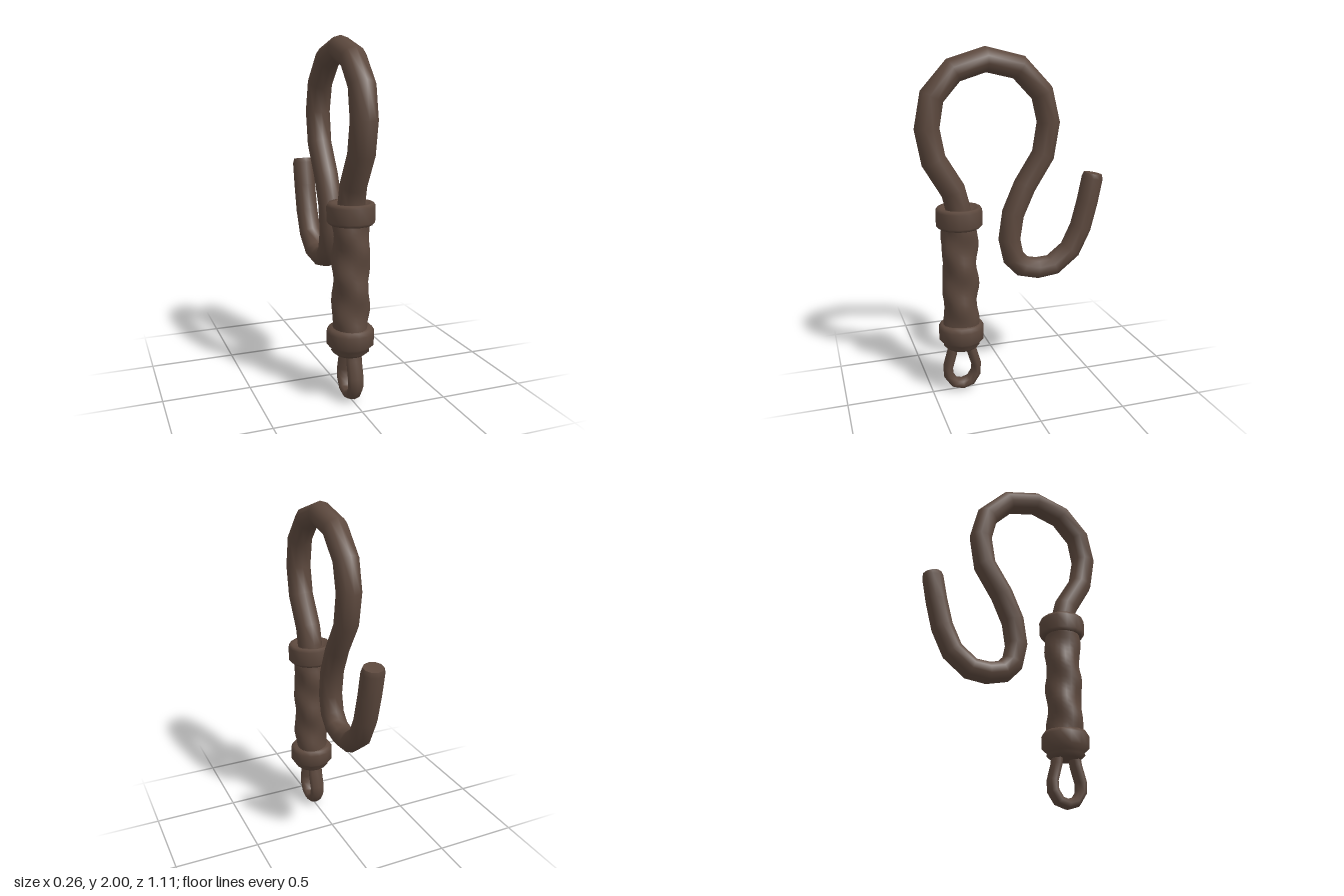
import * as THREE from 'three';

const HANDLE_Z = 0.32;

// Lofts rings around a path of [z, y] points lying in the x = 0 plane.
// radii(i, angle) returns [in-plane radius, sideways radius].
function loft(path, sides, radii, capped) {
  const pos = [], index = [];
  const last = path.length - 1;
  path.forEach(([z, y], i) => {
    const a = path[Math.max(i - 1, 0)], b = path[Math.min(i + 1, last)];
    const t = new THREE.Vector2(b[0] - a[0], b[1] - a[1]).normalize();
    for (let j = 0; j < sides; j++) {
      const ang = (j / sides) * Math.PI * 2;
      const [rn, rx] = radii(i, ang);
      pos.push(-rx * Math.sin(ang), y + t.x * rn * Math.cos(ang), z - t.y * rn * Math.cos(ang));
    }
  });
  for (let i = 0; i < last; i++) {
    for (let j = 0; j < sides; j++) {
      const a = i * sides + j, b = i * sides + ((j + 1) % sides);
      index.push(a, b, a + sides, b, b + sides, a + sides);
    }
  }
  if (capped) {
    // separate rim so the end stays flat
    const rim = last * sides, base = pos.length / 3;
    for (let j = 0; j < sides; j++) pos.push(...pos.slice((rim + j) * 3, (rim + j) * 3 + 3));
    for (let j = 1; j < sides - 1; j++) index.push(base, base + j, base + j + 1);
  }
  const g = new THREE.BufferGeometry();
  g.setAttribute('position', new THREE.Float32BufferAttribute(pos, 3));
  g.setIndex(index);
  g.computeVertexNormals();
  return g;
}

export function createModel() {
  const model = new THREE.Group();
  const leather = new THREE.MeshStandardMaterial({ color: 0x5c483d });
  leather.name = 'brownLeather';

  const add = (name, geometry, y = 0, z = 0) => {
    const mesh = new THREE.Mesh(geometry, leather);
    mesh.name = name;
    mesh.position.set(0, y, z);
    model.add(mesh);
  };

  // Curling lash, from the handle up, over and back to the hooked tip
  const lash = [
    [0.32, 1.02], [0.325, 1.12], [0.35, 1.22], [0.455, 1.395], [0.487, 1.57], [0.455, 1.74],
    [0.335, 1.875], [0.155, 1.93], [-0.035, 1.885], [-0.17, 1.745], [-0.21, 1.58],
    [-0.18, 1.395], [-0.07, 1.22], [0.0, 1.06], [0.022, 0.91], [-0.003, 0.795],
    [-0.06, 0.735], [-0.15, 0.714], [-0.25, 0.724], [-0.36, 0.81], [-0.425, 0.945],
    [-0.465, 1.1], [-0.493, 1.24], [-0.498, 1.268],
  ];
  add('lash', loft(lash, 10, (i) => {
    const k = i / (lash.length - 1);
    const r = i === lash.length - 1 ? 0.054 : 0.072 - 0.01 * k;
    return [r, r + 0.003];
  }, true));

  // Grip with a spiral wrap
  const grip = Array.from({ length: 25 }, (_, i) => [HANDLE_Z, 0.34 + (0.72 * i) / 24]);
  add('grip', loft(grip, 20, (i, a) => {
    const r = 0.101 + 0.006 * Math.sin(2 * a + i * 0.75) + 0.003 * Math.sin(3 * a - i * 0.9);
    return [r, r];
  }, false));

  // Collars at both ends of the grip
  const ring = (points) =>
    new THREE.LatheGeometry(points.map(([r, y]) => new THREE.Vector2(r, y)), 14);
  add('topCollar', ring([
    [0.09, 0.012], [0.118, 0], [0.133, 0.018], [0.134, 0.1], [0.122, 0.118], [0.1, 0.116],
    [0.075, 0.098], [0, 0.095],
  ]), 1.008, HANDLE_Z);
  add('bottomCollar', ring([
    [0, 0], [0.085, 0], [0.108, 0.02], [0.104, 0.036], [0.133, 0.06], [0.134, 0.13],
    [0.12, 0.152], [0.092, 0.156],
  ]), 0.273, HANDLE_Z);

  // Hanging loop below the grip
  const half = [[0.05, 0.31], [0.06, 0.24], [0.086, 0.15], [0.083, 0.095], [0.05, 0.045]];
  const loop = [
    ...half.map(([z, y]) => [HANDLE_Z + z, y]),
    [HANDLE_Z, 0.03],
    ...half.slice().reverse().map(([z, y]) => [HANDLE_Z - z, y]),
  ];
  add('hangingLoop', loft(loop, 8, () => [0.03, 0.046], false));

  return model;
}
